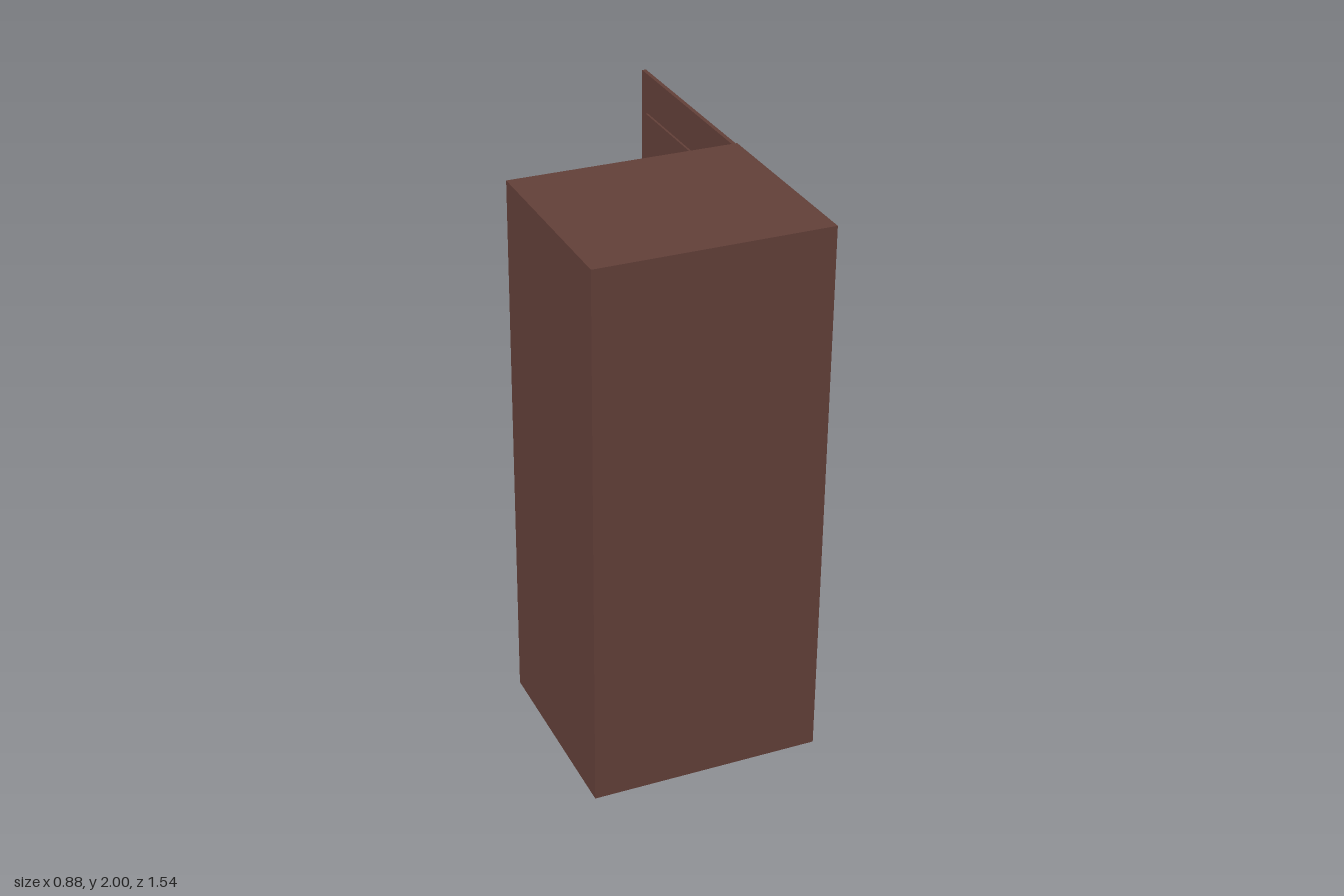
import * as THREE from 'three';

export function createModel() {
  const root = new THREE.Group();
  root.name = 'wardrobe';
  const wood = new THREE.MeshStandardMaterial({ color: 0x623f38 });
  wood.name = 'brown wood';
  const glass = new THREE.MeshStandardMaterial({ color: 0xc8c8c8 });
  glass.name = 'mirror grey';
  const metal = new THREE.MeshStandardMaterial({ color: 0xc4c4c0 });
  metal.name = 'handle metal';

  // Box given by its lower and upper limits on each axis
  function box(parent, name, [x0, x1], [y0, y1], [z0, z1], mat = wood) {
    const mesh = new THREE.Mesh(new THREE.BoxGeometry(x1 - x0, y1 - y0, z1 - z0), mat);
    mesh.position.set((x0 + x1) / 2, (y0 + y1) / 2, (z0 + z1) / 2);
    mesh.name = name;
    parent.add(mesh);
    return mesh;
  }

  // Bowed handle: a flattened half ring with its bulge on +y
  function handle(parent, name, x, y, z) {
    const geo = new THREE.TorusGeometry(0.047, 0.007, 8, 20, Math.PI);
    geo.scale(1, 0.75, 1.3);
    const mesh = new THREE.Mesh(geo, metal);
    mesh.position.set(x, y, z);
    mesh.name = name;
    parent.add(mesh);
    return mesh;
  }

  // Cabinet, open towards -z
  const cabinet = new THREE.Group();
  cabinet.name = 'cabinet';
  root.add(cabinet);
  const L = -0.44, R = 0.393, F = 0.03, B = 0.77, T = 0.02;
  box(cabinet, 'rightSide', [L, L + T], [0, 2], [F, B]);
  box(cabinet, 'leftSide', [R - T, R], [0, 2], [F, B]);
  box(cabinet, 'top', [L + T, R - T], [1.955, 2], [F, B]);
  box(cabinet, 'floor', [L + T, R - T], [0, 0.05], [F, B]);
  box(cabinet, 'backPanel', [L + T, R - T], [0.05, 1.955], [B - T, B]);
  box(cabinet, 'shelf', [L + T, R - T], [0.648, 0.673], [F + 0.01, B - T]);

  // Open-topped drawer box
  const drawer = new THREE.Group();
  drawer.name = 'drawer';
  root.add(drawer);
  const dx = [-0.415, 0.368], dy = [0.06, 0.343], dz = [0.09, 0.745];
  box(drawer, 'drawerFront', dx, dy, [dz[0], dz[0] + 0.015]);
  box(drawer, 'drawerBack', dx, dy, [dz[1] - 0.015, dz[1]]);
  box(drawer, 'drawerBottom', dx, [dy[0], dy[0] + 0.012], dz);
  box(drawer, 'drawerRightSide', [dx[0], dx[0] + 0.015], dy, dz);
  box(drawer, 'drawerLeftSide', [dx[1] - 0.015, dx[1]], dy, dz);
  for (const [name, y] of [['lowerDrawerHandle', 0.2], ['upperDrawerHandle', 0.49]]) {
    handle(root, name, -0.025, y, 0.09).rotation.x = -Math.PI / 2;
  }

  // Door swung open, a frame with two openings; shape runs along -z and y
  const door = new THREE.Group();
  door.name = 'door';
  root.add(door);
  function rect(path, u0, u1, y0, y1) {
    path.moveTo(u0, y0);
    path.lineTo(u1, y0);
    path.lineTo(u1, y1);
    path.lineTo(u0, y1);
    path.closePath();
    return path;
  }
  const outline = rect(new THREE.Shape(), -0.03, 0.768, 0.015, 1.99);
  outline.holes.push(
    rect(new THREE.Path(), 0.035, 0.697, 0.8, 1.825),
    rect(new THREE.Path(), 0.012, 0.718, 0.135, 0.513)
  );
  const frameGeo = new THREE.ExtrudeGeometry(outline, { depth: 0.015, bevelEnabled: false });
  frameGeo.rotateY(Math.PI / 2);
  const frame = new THREE.Mesh(frameGeo, wood);
  frame.position.x = 0.383;
  frame.name = 'doorFrame';
  door.add(frame);

  // Panels sit back from the outer face and stand proud inside
  box(door, 'upperPanel', [0.375, 0.387], [0.785, 1.84], [-0.715, -0.02]);
  box(door, 'lowerPanel', [0.375, 0.389], [0.135, 0.513], [-0.718, -0.012]);
  box(door, 'mirror', [0.387, 0.391], [0.808, 1.817], [-0.69, -0.042], glass);
  handle(door, 'doorHandle', 0.398, 0.985, -0.742).rotation.z = -Math.PI / 2;

  return root;
}
